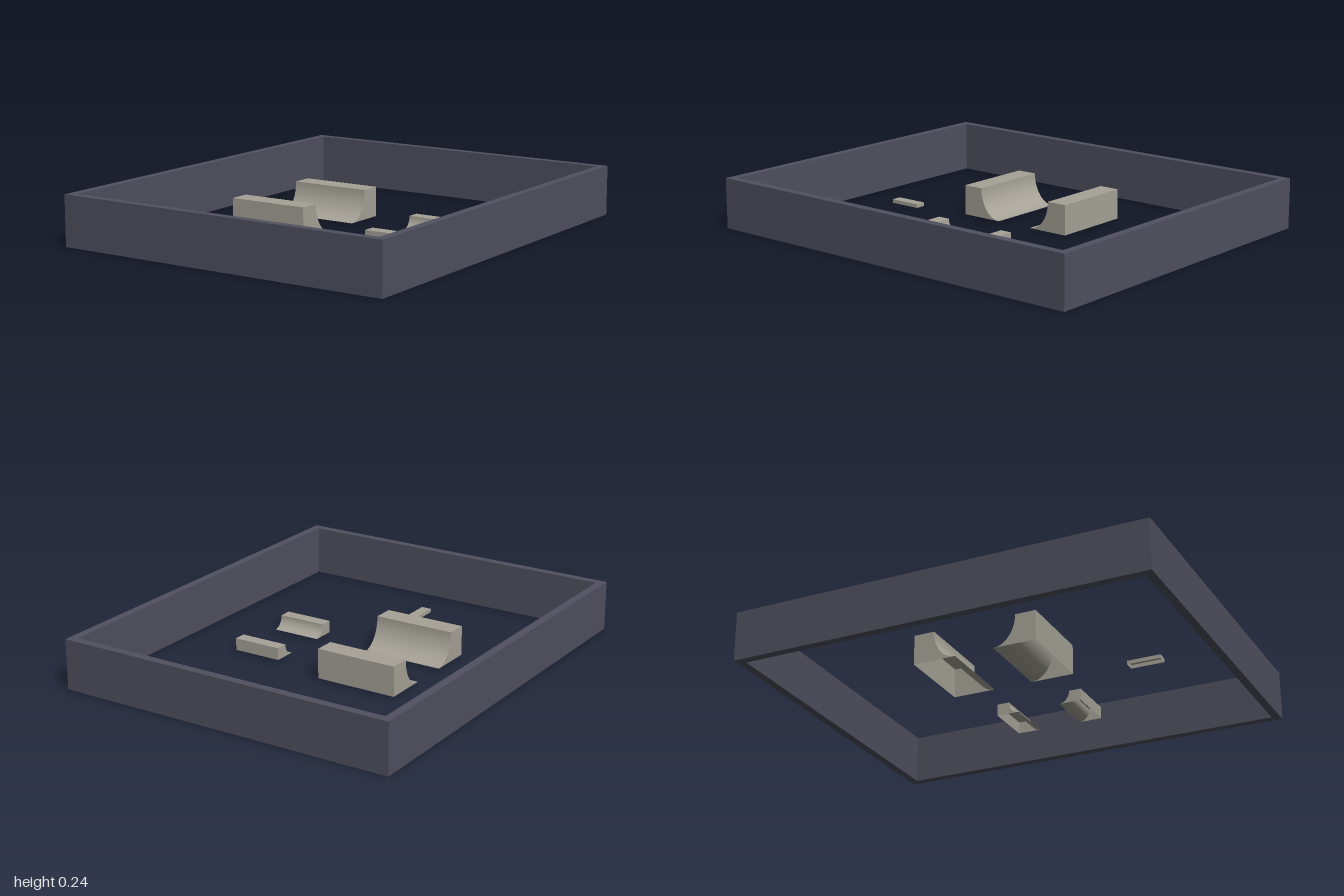
import * as THREE from 'three';

const WALL = new THREE.MeshStandardMaterial({ name: 'slate wall', color: 0x50505f });
const CONCRETE = new THREE.MeshStandardMaterial({ name: 'warm concrete', color: 0xa6a297, side: THREE.DoubleSide });
const FLOOR = 0.01; // level the ramps and rail rest on

function add(parent, name, geometry, material) {
  const mesh = new THREE.Mesh(geometry, material);
  mesh.name = name;
  parent.add(mesh);
  return mesh;
}

// Rectangular wall ring, open above and below
function perimeterWall() {
  const rect = (path, x, y) =>
    path.moveTo(-x, -y).lineTo(x, -y).lineTo(x, y).lineTo(-x, y).closePath();
  const shape = rect(new THREE.Shape(), 0.84, 1);
  shape.holes.push(rect(new THREE.Path(), 0.8, 0.96));
  return new THREE.ExtrudeGeometry(shape, { depth: 0.24, bevelEnabled: false }).rotateX(-Math.PI / 2);
}

// Hollow quarter pipe, curve falling towards +z, deck behind it, open underneath
function quarterPipe(name, width, height, run, deck) {
  const ramp = new THREE.Group();
  ramp.name = name;
  const steps = 20;
  const profile = (t) => {
    const a = t * Math.PI / 2;
    return [run * (1 - Math.cos(a)), height * (1 - Math.sin(a))];
  };

  const curve = new THREE.PlaneGeometry(width, 1, 1, steps);
  const pos = curve.attributes.position;
  for (let i = 0; i < pos.count; i++) {
    const [z, y] = profile(0.5 - pos.getY(i));
    pos.setXYZ(i, pos.getX(i), y, z);
  }
  curve.computeVertexNormals();
  add(ramp, 'ridingCurve', curve, CONCRETE);

  add(ramp, 'deck', new THREE.PlaneGeometry(width, deck)
    .rotateX(-Math.PI / 2).translate(0, height, -deck / 2), CONCRETE);
  add(ramp, 'backPanel', new THREE.PlaneGeometry(width, height)
    .rotateY(Math.PI).translate(0, height / 2, -deck), CONCRETE);

  const side = new THREE.Shape().moveTo(-deck, 0).lineTo(-deck, height);
  for (let i = 0; i <= steps; i++) side.lineTo(...profile(i / steps));
  for (const s of [-1, 1]) {
    add(ramp, s > 0 ? 'leftSide' : 'rightSide',
      new THREE.ShapeGeometry(side).rotateY(-Math.PI / 2).translate(s * width / 2, 0, 0), CONCRETE);
  }
  return ramp;
}

// Low grind box, open underneath
function grindBox(width, height, length) {
  const box = new THREE.Group();
  box.name = 'grindBox';
  add(box, 'top', new THREE.PlaneGeometry(width, length)
    .rotateX(-Math.PI / 2).translate(0, height, 0), CONCRETE);
  for (let i = 0; i < 4; i++) {
    const across = i % 2 === 0;
    add(box, 'sidePanel', new THREE.PlaneGeometry(across ? width : length, height)
      .translate(0, height / 2, (across ? length : width) / 2).rotateY(i * Math.PI / 2), CONCRETE);
  }
  return box;
}

export function createModel() {
  const park = new THREE.Group();
  park.name = 'skatePark';
  add(park, 'perimeterWall', perimeterWall(), WALL);

  // Two facing pairs of ramps: name, centre x, width, height, run, deck, lip distance
  const pairs = [
    ['large', -0.24, 0.4, 0.143, 0.108, 0.1, 0.202],
    ['small', 0.36, 0.24, 0.058, 0.052, 0.06, 0.157],
  ];
  for (const [name, x, width, height, run, deck, lip] of pairs) {
    for (const s of [-1, 1]) {
      const ramp = quarterPipe(name + (s > 0 ? 'FrontRamp' : 'BackRamp'), width, height, run, deck);
      ramp.position.set(x, FLOOR, s * lip - 0.004);
      if (s > 0) ramp.rotation.y = Math.PI;
      park.add(ramp);
    }
  }

  const box = grindBox(0.05, 0.018, 0.16);
  box.position.set(-0.003, FLOOR, 0.638);
  park.add(box);
  return park;
}
